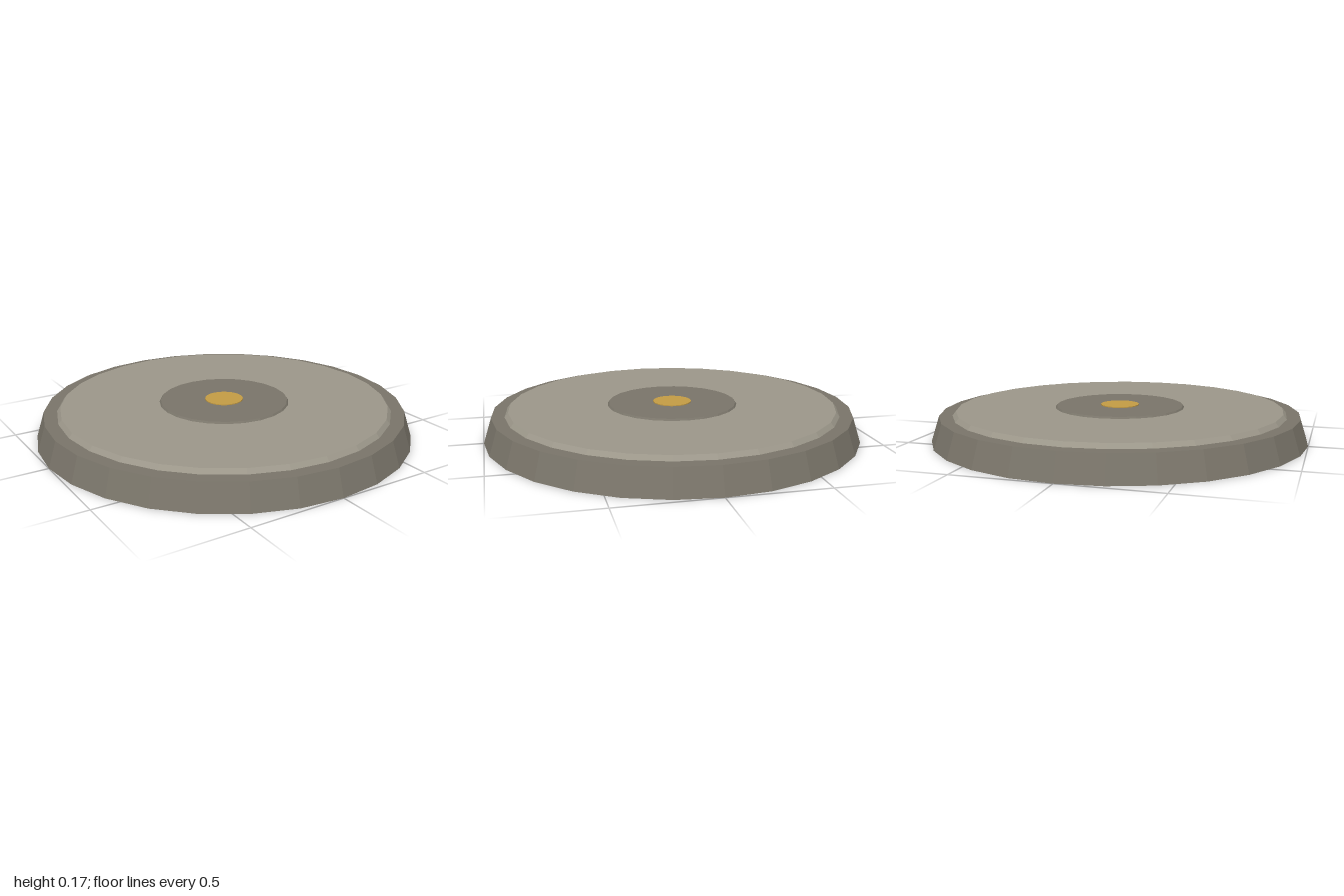
import * as THREE from 'three';

const stone = new THREE.MeshStandardMaterial({ name: 'dark stone', color: 0x7a756a, flatShading: true });
const paleStone = new THREE.MeshStandardMaterial({ name: 'pale stone', color: 0x9c978a, flatShading: true });
const gold = new THREE.MeshStandardMaterial({ name: 'gold', color: 0xc49c45, flatShading: true });

export function createModel() {
  const model = new THREE.Group();
  model.name = 'steppedRoundBase';

  // Each tier is a tapered disc resting on the one below
  const addTier = (name, topRadius, bottomRadius, bottom, top, sides, material) => {
    const geometry = new THREE.CylinderGeometry(topRadius, bottomRadius, top - bottom, sides);
    const mesh = new THREE.Mesh(geometry, material);
    mesh.name = name;
    mesh.position.y = (bottom + top) / 2;
    model.add(mesh);
  };

  addTier('basePlinth', 0.957, 1, 0, 0.133, 28, stone);
  addTier('upperSlab', 0.87, 0.888, 0.133, 0.156, 28, paleStone);
  addTier('centreDisc', 0.34, 0.347, 0.156, 0.165, 24, stone);
  addTier('goldInlay', 0.102, 0.102, 0.165, 0.17, 24, gold);

  return model;
}
